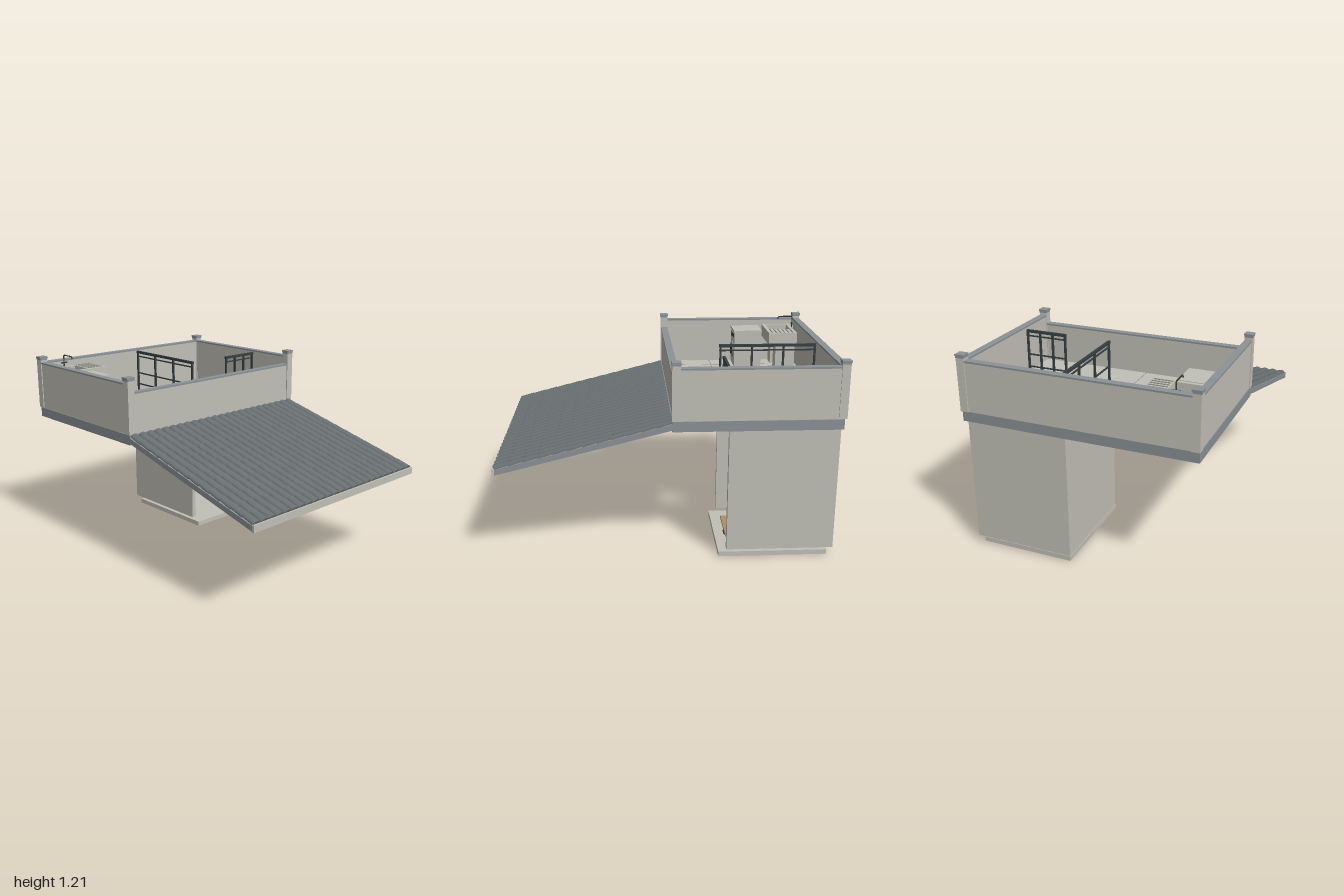
import * as THREE from 'three';
import { mergeGeometries } from 'three/addons/utils/BufferGeometryUtils.js';

const mat = (name, color, side = THREE.FrontSide) => {
  const m = new THREE.MeshStandardMaterial({ color, side });
  m.name = name;
  return m;
};

export function createModel() {
  const model = new THREE.Group();
  const plaster = mat('plaster', 0xc2c0b7);
  const stone = mat('greyStone', 0x8b9296);
  const slate = mat('slateTile', 0x6a7072, THREE.DoubleSide);
  const steel = mat('darkSteel', 0x374043);
  const wood = mat('wood', 0xb18e64);
  const glass = mat('darkGlass', 0x24292b);
  const groove = mat('groove', 0x94958f);

  const add = (parent, name, geo, material) => {
    const m = new THREE.Mesh(geo, material);
    m.name = name;
    parent.add(m);
    return m;
  };
  const group = (name) => {
    const g = new THREE.Group();
    g.name = name;
    model.add(g);
    return g;
  };
  // Box from its limits on each axis
  const box = (parent, name, material, x0, x1, y0, y1, z0, z1) => {
    const m = add(parent, name, new THREE.BoxGeometry(x1 - x0, y1 - y0, z1 - z0), material);
    m.position.set((x0 + x1) / 2, (y0 + y1) / 2, (z0 + z1) / 2);
    return m;
  };
  // Square beam between two points
  const beam = (parent, name, a, b, w, h) => {
    const p = new THREE.Vector3(...a), q = new THREE.Vector3(...b);
    const m = add(parent, name, new THREE.BoxGeometry(w, h, p.distanceTo(q) + h * 0.45), steel);
    m.position.copy(p).lerp(q, 0.5);
    m.lookAt(q);
    return m;
  };
  // Horizontal plate from plan points [x, z], with an optional rectangular hole
  const plate = (pts, y, h, hole) => {
    const v = (l) => l.map(([x, z]) => new THREE.Vector2(x, -z));
    const s = new THREE.Shape(v(pts));
    if (hole) s.holes.push(new THREE.Path(v(hole)));
    return new THREE.ExtrudeGeometry(s, { depth: h, bevelEnabled: false }).rotateX(-Math.PI / 2).translate(0, y, 0);
  };
  const rect = (x0, x1, z0, z1) => [[x0, z0], [x0, z1], [x1, z1], [x1, z0]];

  // Terrace slab and floor, open above the stair
  const hole = rect(0.095, 0.64, -0.945, -0.34);
  const terrace = group('terrace');
  add(terrace, 'slab', plate(rect(-0.7, 0.7, -0.985, -0.015), 0.805, 0.06, hole), stone);
  add(terrace, 'floor', plate(rect(-0.695, 0.695, -0.98, -0.02), 0.865, 0.006, hole), plaster);
  for (const x of [-0.535, -0.035]) box(terrace, 'floorJoint', groove, x - 0.002, x + 0.002, 0.87, 0.872, -0.955, -0.06);
  for (const z of [-0.36, -0.53]) box(terrace, 'floorJoint', groove, -0.66, 0.08, 0.87, 0.872, z - 0.002, z + 0.002);
  box(terrace, 'drainFrame', groove, -0.172, -0.128, 0.87, 0.874, -0.177, -0.133);
  for (let i = 0; i < 3; i++) box(terrace, 'drainBar', glass, -0.168 + i * 0.014, -0.16 + i * 0.014, 0.873, 0.876, -0.173, -0.137);

  // Parapet walls, copings and corner posts
  const parapet = group('parapet');
  box(parapet, 'frontWall', plaster, -0.66, 0.66, 0.868, 1.105, -0.055, -0.02);
  box(parapet, 'frontCoping', stone, -0.66, 0.66, 1.105, 1.115, -0.06, -0.016);
  box(parapet, 'backWall', plaster, -0.66, 0.66, 0.868, 1.16, -0.99, -0.955);
  box(parapet, 'backCoping', stone, -0.66, 0.66, 1.16, 1.17, -0.994, -0.95);
  for (const s of [-1, 1]) {
    const x = s * 0.68;
    box(parapet, 'sideWall', plaster, x - 0.018, x + 0.018, 0.868, 1.16, -0.95, -0.055);
    box(parapet, 'sideCoping', stone, x - 0.022, x + 0.022, 1.16, 1.17, -0.95, -0.055);
    for (const z of [-0.973, -0.037]) {
      box(parapet, 'cornerPost', plaster, x - 0.024, x + 0.024, 0.868, 1.19, z - 0.024, z + 0.024);
      box(parapet, 'postNeck', stone, x - 0.025, x + 0.025, 1.184, 1.194, z - 0.025, z + 0.025);
      box(parapet, 'postCap', stone, x - 0.028, x + 0.028, 1.194, 1.205, z - 0.027, z + 0.027);
    }
  }

  // Sloping tiled roof
  const roof = group('tiledRoof');
  const deck = new THREE.Shape([[-0.015, 0.815], [0.985, 0.565], [0.985, 0.598], [-0.015, 0.848]].map((p) => new THREE.Vector2(...p)));
  const deckGeo = new THREE.ExtrudeGeometry(deck, { depth: 1.4, bevelEnabled: false }).rotateY(-Math.PI / 2).translate(0.7, 0, 0);
  add(roof, 'deck', deckGeo, stone);
  box(roof, 'fascia', plaster, -0.7, 0.7, 0.56, 0.602, 0.985, 1.0);
  const rows = 12, cols = 24, step = 1.39 / cols, slope = Math.atan2(0.25, 1);
  const tiles = [];
  for (let r = 0; r < rows; r++) {
    for (let c = 0; c < cols; c++) {
      const t = new THREE.CylinderGeometry(step * 0.51, step * 0.46, 0.094, 8, 1, false, -Math.PI / 2, Math.PI);
      t.rotateX(Math.PI / 2); // barrel runs along z, wide end downhill
      t.rotateZ(0);
      // Turn the curved half upward
      t.computeBoundingBox();
      if (t.boundingBox.max.y < 0.01) t.rotateZ(Math.PI);
      t.scale(1, 0.68, 1).rotateX(slope + 0.06);
      const k = (r + 0.5) / rows;
      t.translate(-0.695 + (c + 0.5) * step, 0.851 - 0.25 * k, -0.015 + 1.0 * k);
      tiles.push(t);
    }
  }
  add(roof, 'barrelTiles', mergeGeometries(tiles), slate);

  // Stair enclosure, open at the front, above a base slab
  const tower = group('stairEnclosure');
  box(tower, 'baseSlab', plaster, 0.08, 0.655, 0, 0.03, -0.945, -0.295);
  box(tower, 'leftWall', plaster, 0.64, 0.675, 0.055, 0.806, -0.975, -0.34);
  box(tower, 'rightWall', plaster, 0.065, 0.095, 0.055, 0.806, -0.975, -0.34);
  box(tower, 'rearWall', plaster, 0.095, 0.64, 0.055, 0.806, -0.975, -0.945);

  // Stair: two straight flights joined by three winders
  const stair = group('stair');
  const rise = 0.0465, going = 0.06, th = 0.015;
  for (let i = 0; i < 7; i++) {
    const z = -0.37 - going * i, zu = -0.725 + going * i;
    const y = 0.114 + rise * i, yu = y + rise * 10;
    box(stair, 'lowerTread', wood, 0.365, 0.61, y, y + th, z - 0.035, z + 0.032);
    box(stair, 'lowerBracket', steel, 0.42, 0.555, y - 0.01, y, z - 0.022, z + 0.022);
    box(stair, 'upperTread', wood, 0.1, 0.352, yu - 0.008, yu + th - 0.008, zu - 0.032, zu + 0.03);
    box(stair, 'upperBracket', steel, 0.155, 0.295, yu - 0.018, yu - 0.008, zu - 0.022, zu + 0.022);
  }
  const hub = [0.357, -0.755], cornerL = [0.61, -0.935], cornerR = [0.1, -0.935];
  [[hub, [0.61, -0.755], cornerL], [hub, cornerL, cornerR], [hub, cornerR, [0.1, -0.755]]].forEach((p, i) => {
    const y = 0.114 + rise * (7 + i);
    add(stair, 'winderTread', plate(p, y, th), wood);
    const x = 0.525 - i * 0.168, z = i === 1 ? -0.875 : -0.815;
    box(stair, 'winderBracket', steel, x - 0.05, x + 0.05, y - 0.01, y, z - 0.025, z + 0.025);
    box(stair, 'winderSupport', steel, x - 0.02, x + 0.02, y - 0.06, y - 0.01, z - 0.02, z + 0.02);
  });
  const path = [[0.487, 0.062, -0.37], [0.487, 0.365, -0.76], [0.487, 0.385, -0.845],
    [0.225, 0.455, -0.845], [0.225, 0.505, -0.76], [0.225, 0.815, -0.36]];
  for (let i = 0; i < path.length - 1; i++) beam(stair, 'stringer', path[i], path[i + 1], 0.042, 0.06);
  box(stair, 'stringerFoot', steel, 0.467, 0.507, 0.03, 0.07, -0.415, -0.365);

  // Guard rails beside the stair opening
  const rails = group('guardRails');
  const b = 0.006;
  for (let i = 0; i < 4; i++) {
    const z = -0.94 + i * 0.1967, x = 0.382 + i * 0.085;
    box(rails, 'sidePost', steel, 0.085 - b, 0.085 + b, 0.87, 1.15, z - b, z + b);
    box(rails, 'frontPost', steel, x - b, x + b, 0.87, 1.15, -0.335 - b, -0.335 + b);
  }
  for (const y of [0.92, 1.0, 1.12, 1.15]) {
    const w = y > 1.14 ? 0.008 : 0.004;
    box(rails, 'sideRail', steel, 0.085 - w, 0.085 + w, y - w, y + w, -0.945, -0.342);
    box(rails, 'frontRail', steel, 0.375, 0.642, y - w, y + w, -0.335 - w, -0.335 + w);
  }

  // Washing machine
  const washer = group('washingMachine');
  box(washer, 'washerBody', plaster, -0.655, -0.475, 0.871, 1.108, -0.7, -0.515);
  box(washer, 'washerTop', plaster, -0.657, -0.473, 1.108, 1.122, -0.702, -0.51);
  const ring = add(washer, 'doorRing', new THREE.TorusGeometry(0.047, 0.009, 8, 28), groove);
  ring.position.set(-0.565, 0.975, -0.513);
  const door = add(washer, 'doorGlass', new THREE.CylinderGeometry(0.033, 0.045, 0.014, 28).rotateX(Math.PI / 2), glass);
  door.position.set(-0.565, 0.975, -0.508);
  box(washer, 'drawer', groove, -0.645, -0.595, 1.065, 1.092, -0.516, -0.512);
  box(washer, 'display', glass, -0.55, -0.515, 1.07, 1.09, -0.516, -0.511);
  const knob = add(washer, 'dial', new THREE.CylinderGeometry(0.012, 0.012, 0.012, 16).rotateX(Math.PI / 2), steel);
  knob.position.set(-0.573, 1.08, -0.51);

  // Laundry sink with washboard and tap
  const sink = group('laundrySink');
  const basin = rect(-0.635, -0.478, -0.9, -0.752);
  add(sink, 'sinkTub', plate(rect(-0.655, -0.345, -0.92, -0.73), 1.05, 0.08, basin), plaster);
  box(sink, 'tubBottom', plaster, -0.636, -0.477, 1.05, 1.056, -0.901, -0.751);
  for (let i = 0; i < 6; i++) {
    const z = -0.895 + i * 0.028;
    box(sink, 'washboardRib', groove, -0.468, -0.36, 1.129, 1.134, z - 0.004, z + 0.004);
  }
  for (const x of [-0.64, -0.45]) box(sink, 'sinkPedestal', plaster, x, x + 0.09, 0.871, 1.05, -0.91, -0.78);
  const spout = new THREE.CatmullRomCurve3([[1.12, -0.922], [1.195, -0.922], [1.205, -0.915], [1.205, -0.83], [1.19, -0.82]]
    .map(([y, z]) => new THREE.Vector3(-0.545, y, z)), false, 'catmullrom', 0.1);
  add(sink, 'tapSpout', new THREE.TubeGeometry(spout, 24, 0.004, 8), steel);
  box(sink, 'tapHandle', steel, -0.568, -0.522, 1.151, 1.158, -0.926, -0.918);

  return model;
}
